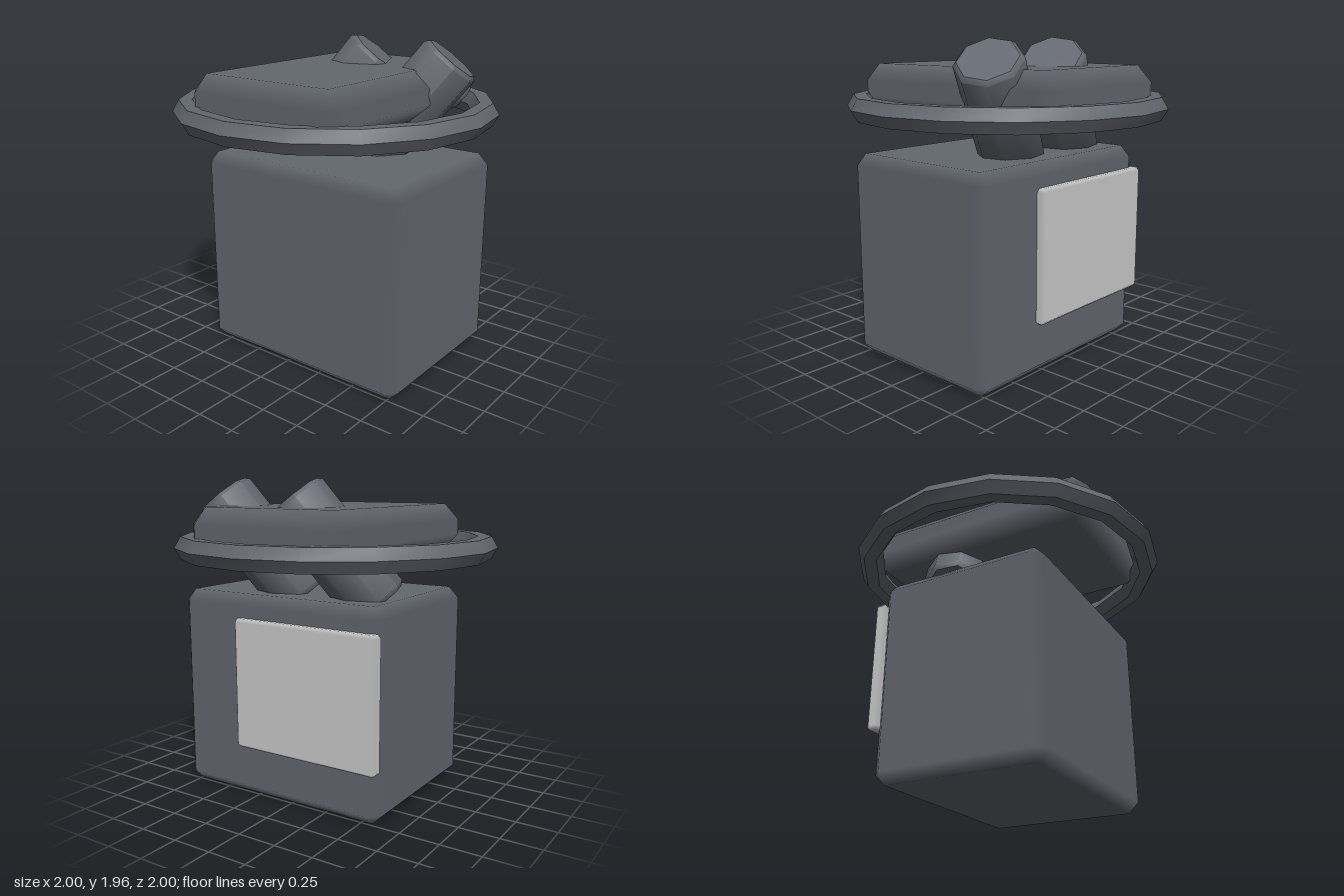
import * as THREE from 'three';
import { ConvexGeometry } from 'three/addons/geometries/ConvexGeometry.js';
import { toCreasedNormals } from 'three/addons/utils/BufferGeometryUtils.js';

// Box between two corners with one soft chamfer along every edge
function chamferBox(min, max, bevel) {
  const lo = new THREE.Vector3(...min), hi = new THREE.Vector3(...max);
  const center = lo.clone().add(hi).multiplyScalar(0.5);
  const half = hi.clone().sub(lo).multiplyScalar(0.5);
  const axes = ['x', 'y', 'z'];
  const points = [];
  for (const face of axes)
    for (const sx of [-1, 1]) for (const sy of [-1, 1]) for (const sz of [-1, 1]) {
      const p = new THREE.Vector3(sx, sy, sz);
      for (const a of axes) p[a] *= half[a] - (a === face ? 0 : bevel);
      points.push(p);
    }
  const geo = new ConvexGeometry(points);

  // Flat main faces, with shading blended across the chamfers
  const pos = geo.attributes.position, normal = geo.attributes.normal;
  const p = new THREE.Vector3(), n = new THREE.Vector3();
  for (let i = 0; i < pos.count; i++) {
    p.fromBufferAttribute(pos, i);
    n.set(0, 0, 0);
    for (const a of axes) if (half[a] - Math.abs(p[a]) < bevel / 2) n[a] = Math.sign(p[a]);
    normal.setXYZ(i, n.x, n.y, n.z);
  }
  return geo.translate(center.x, center.y, center.z);
}

export function createModel() {
  const model = new THREE.Group();
  model.name = 'model';
  const darkGrey = new THREE.MeshStandardMaterial({ name: 'dark grey', color: 0x63676f });
  const lightGrey = new THREE.MeshStandardMaterial({ name: 'light grey', color: 0xcccccc });

  const add = (name, geometry, material) => {
    const mesh = new THREE.Mesh(geometry, material);
    mesh.name = name;
    model.add(mesh);
    return mesh;
  };

  // Main block and its side panel
  add('body', chamferBox([-0.545, 0, -0.63], [0.545, 1.275, 0.82], 0.066), darkGrey);
  add('sidePanel', chamferBox([0.51, 0.325, -0.635], [0.59, 1.135, 0.36], 0.02), lightGrey);

  // Slab floating inside the ring
  add('topSlab', chamferBox([-0.775, 1.5, -0.525], [0.775, 1.8, 0.57], 0.1), darkGrey);

  // Sixteen-sided ring with a hexagonal section
  const ring = new THREE.TorusGeometry(0.92, 0.08, 6, 16).rotateX(Math.PI / 2);
  add('ring', toCreasedNormals(ring, 0.5), darkGrey).position.y = 1.55;

  // Two leaning eight-sided posts with bevelled rims
  const r = 0.2, h = 0.4, b = 0.025;
  const profile = [[0, -h], [r - b, -h], [r, b - h], [r, h - b], [r - b, h], [0, h]]
    .map(([x, y]) => new THREE.Vector2(x, y));
  const post = toCreasedNormals(new THREE.LatheGeometry(profile, 8, -0.13), 0.8);
  const lean = new THREE.Vector3(0.36, 1, 0.72).normalize();
  [['frontPost', 0.365], ['backPost', -0.18]].forEach(([name, z]) => {
    const mesh = add(name, post, darkGrey);
    mesh.position.set(0.275, 1.545, z);
    mesh.quaternion.setFromUnitVectors(new THREE.Vector3(0, 1, 0), lean);
  });

  return model;
}
